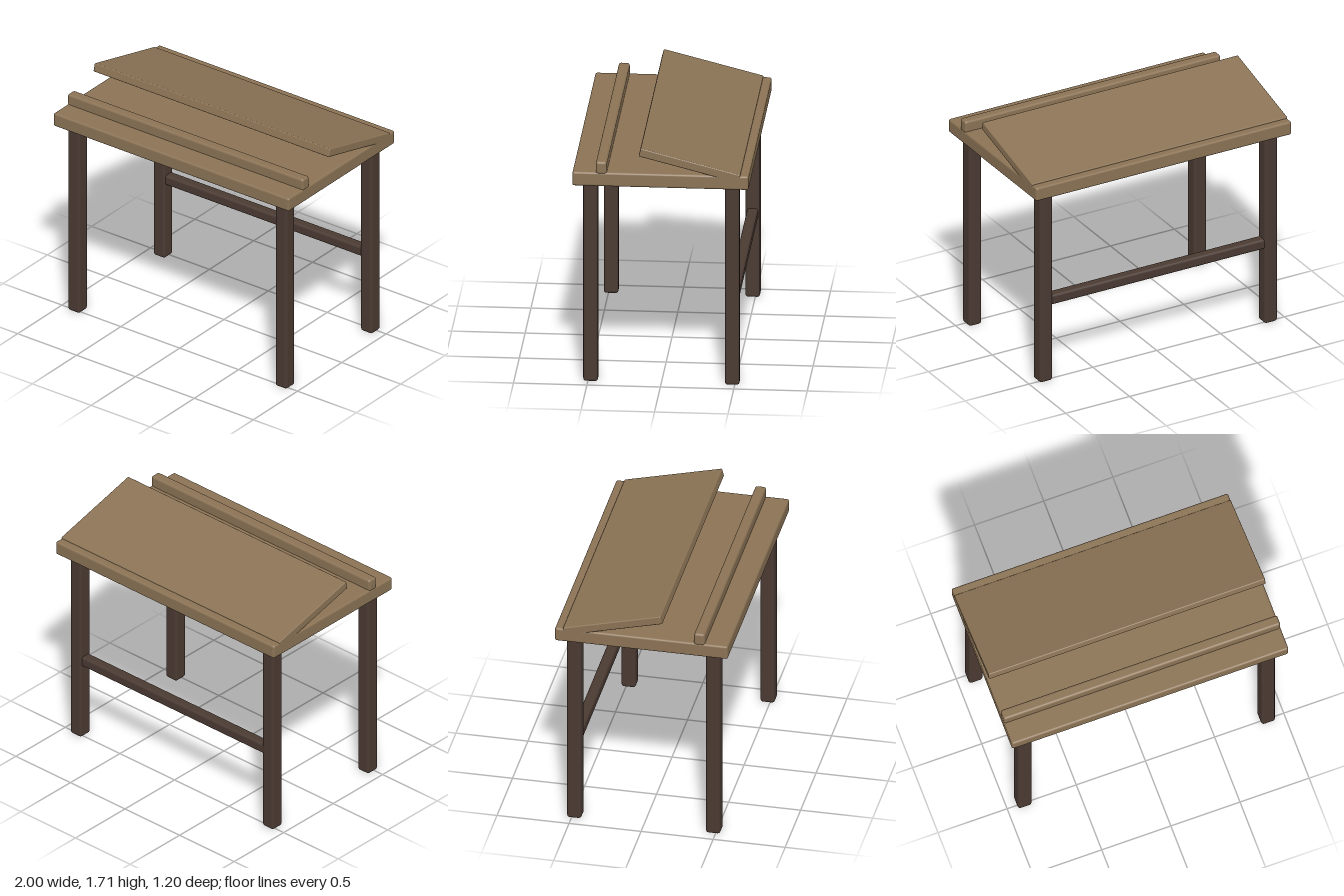
import * as THREE from 'three';
import { RoundedBoxGeometry } from 'three/addons/geometries/RoundedBoxGeometry.js';

const lightWood = new THREE.MeshStandardMaterial({ color: 0x8b7355 });
const darkWood = new THREE.MeshStandardMaterial({ color: 0x4a3a32 });

// One softly rounded timber, placed by its centre
function timber(name, size, position, radius, material) {
  const mesh = new THREE.Mesh(new RoundedBoxGeometry(...size, 3, radius), material);
  mesh.name = name;
  mesh.position.set(...position);
  return mesh;
}

export function createModel() {
  const desk = new THREE.Group();
  desk.name = 'draftingDesk';

  // Flat top
  desk.add(timber('tableTop', [2, 0.1, 1.2], [0, 1.485, 0], 0.015, lightWood));

  // Sloped board, its back edge sunk into the top
  const board = timber('slopedBoard', [2, 0.06, 0.7], [0, 1.601, -0.198], 0.008, lightWood);
  board.rotation.x = -0.25;
  desk.add(board);

  // Raised ledge near the front
  desk.add(timber('ledge', [2, 0.09, 0.075], [0, 1.567, 0.403], 0.017, lightWood));

  // Four legs
  for (const [side, x] of [['Left', 0.88], ['Right', -0.88]]) {
    for (const [end, z] of [['front', 0.482], ['back', -0.482]]) {
      desk.add(timber(`${end}${side}Leg`, [0.1, 1.435, 0.1], [x, 0.7175, z], 0.02, darkWood));
    }
  }

  // Stretcher between the back legs
  desk.add(timber('backStretcher', [1.7, 0.075, 0.075], [0, 0.604, -0.482], 0.018, darkWood));

  return desk;
}
